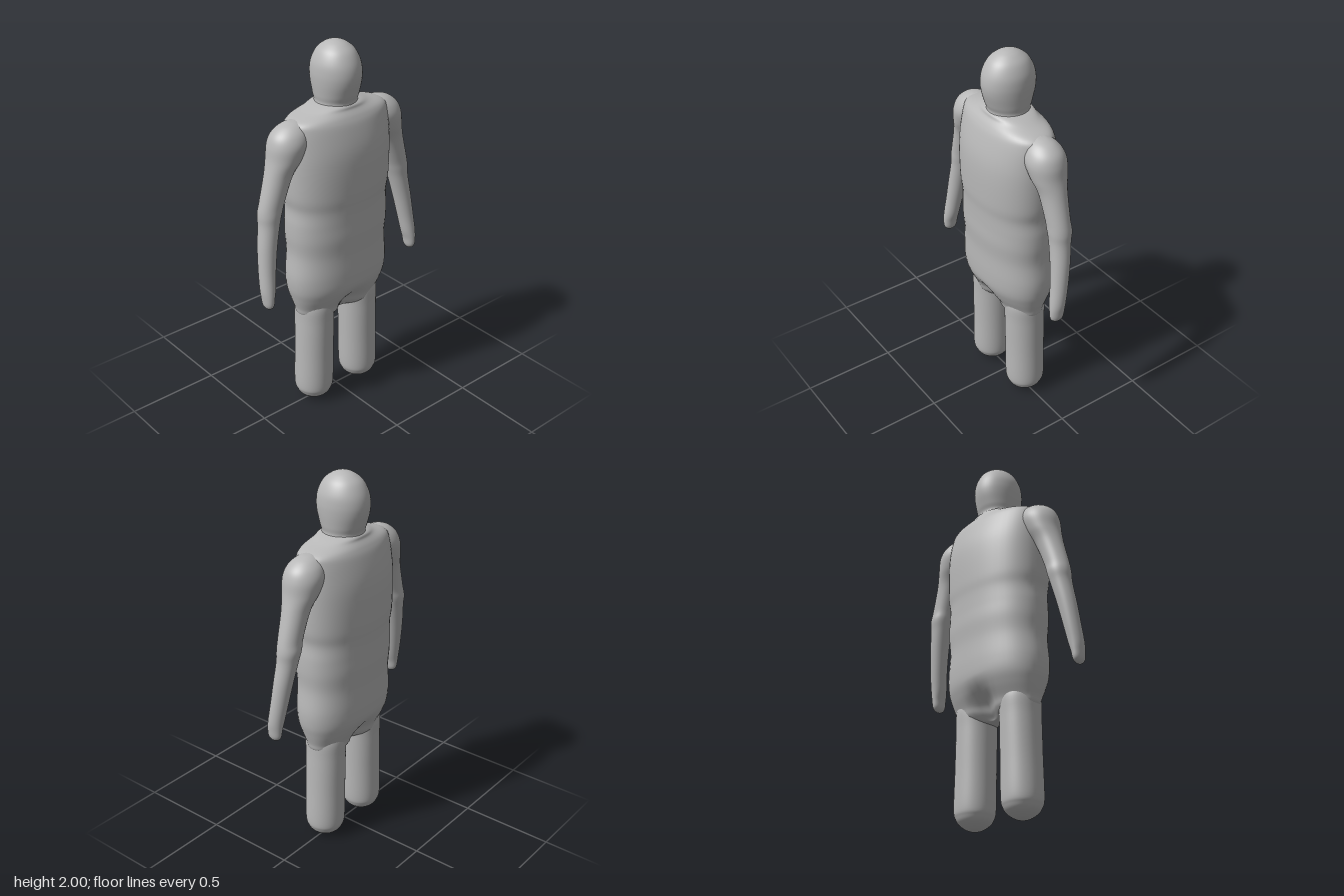
import * as THREE from 'three';

const SIDES = 48;
const STEPS = 6;

// Smooth skin over level rings listed from bottom to top.
// Each ring: [x, y, z, halfWidth, halfDepth, cleft]
function loft(rings, power = 2) {
  const spline = (pts) => new THREE.CatmullRomCurve3(pts, false, 'catmullrom', 0.5);
  const centres = spline(rings.map((r) => new THREE.Vector3(r[0], r[1], r[2])));
  const sizes = spline(rings.map((r) => new THREE.Vector3(r[3], r[4], r[5] || 0)));
  const rows = (rings.length - 1) * STEPS;
  const pos = [];
  const index = [];
  const round = (v) => Math.sign(v) * Math.pow(Math.abs(v), 2 / power);
  for (let i = 0; i <= rows; i++) {
    const c = centres.getPoint(i / rows);
    const s = sizes.getPoint(i / rows);
    for (let j = 0; j < SIDES; j++) {
      const a = (j / SIDES) * Math.PI * 2;
      const x = Math.max(s.x, 0) * round(Math.cos(a));
      // The cleft pulls the middle of the front and back inwards
      const pinch = 1 - Math.max(s.z, 0) * Math.exp(-((x / 0.06) ** 2));
      const z = Math.max(s.y, 0) * round(Math.sin(a)) * pinch;
      pos.push(c.x + x, c.y, c.z + z);
      if (i < rows) {
        const k = i * SIDES + j;
        const n = i * SIDES + ((j + 1) % SIDES);
        index.push(k, k + SIDES, n, n, k + SIDES, n + SIDES);
      }
    }
  }
  const geo = new THREE.BufferGeometry();
  geo.setAttribute('position', new THREE.Float32BufferAttribute(pos, 3));
  geo.setIndex(index);
  geo.computeVertexNormals();
  return geo;
}

export function createModel() {
  const model = new THREE.Group();
  model.name = 'figure';
  const grey = new THREE.MeshStandardMaterial({ color: 0xb8b8b8 });
  grey.name = 'plain grey';

  const add = (name, rings, power) => {
    const mesh = new THREE.Mesh(loft(rings, power), grey);
    mesh.name = name;
    model.add(mesh);
  };

  // Torso, from the crotch to the base of the neck
  add('torso', [
    [0, 0.52, 0, 0, 0],
    [0, 0.53, 0, 0.2, 0.08, 0.6],
    [0, 0.56, 0, 0.25, 0.112, 0.55],
    [0, 0.6, 0, 0.262, 0.126, 0.42],
    [0, 0.66, 0, 0.28, 0.155, 0.12],
    [0, 0.72, 0, 0.294, 0.175, 0],
    [0, 0.8, 0, 0.298, 0.181, 0],
    [0, 0.92, 0, 0.287, 0.181, 0],
    [0, 1.02, 0, 0.293, 0.188, 0],
    [0, 1.1, 0, 0.293, 0.188, 0],
    [0, 1.18, 0, 0.288, 0.19, 0],
    [0, 1.26, 0, 0.3, 0.196, 0],
    [0, 1.4, 0, 0.305, 0.196, 0],
    [0, 1.5, 0, 0.305, 0.186, 0],
    [0, 1.6, 0, 0.3, 0.16, 0],
    [0, 1.645, 0, 0.28, 0.14, 0],
    [0, 1.675, 0, 0.19, 0.118, 0],
    [0, 1.7, 0, 0.11, 0.1, 0],
    [0, 1.72, 0, 0, 0, 0],
  ], 2.2);

  // Head and neck
  add('head', [
    [0, 1.66, 0, 0.13, 0.125],
    [0, 1.7, 0, 0.109, 0.106],
    [0, 1.74, 0, 0.113, 0.118],
    [0, 1.8, 0, 0.119, 0.135],
    [0, 1.85, 0, 0.12, 0.139],
    [0, 1.9, 0, 0.113, 0.129],
    [0, 1.95, 0, 0.09, 0.102],
    [0, 1.98, 0, 0.058, 0.066],
    [0, 1.995, 0, 0.028, 0.032],
    [0, 2, 0, 0, 0],
  ]);

  for (const [side, s] of [['left', 1], ['right', -1]]) {
    // Leg with a rounded foot
    add(side + 'Leg', [
      [s * 0.157, 0, 0, 0, 0],
      [s * 0.157, 0.006, 0, 0.036, 0.036],
      [s * 0.157, 0.03, 0, 0.074, 0.074],
      [s * 0.157, 0.06, 0, 0.095, 0.095],
      [s * 0.157, 0.11, 0, 0.105, 0.105],
      [s * 0.153, 0.3, 0, 0.104, 0.105],
      [s * 0.149, 0.5, 0, 0.103, 0.107],
      [s * 0.146, 0.62, 0, 0.1, 0.107],
      [s * 0.14, 0.7, 0, 0.06, 0.07],
    ]);

    // Arm from the fingertips up to the rounded shoulder
    add(side + 'Arm', [
      [s * 0.484, 0.715, 0.05, 0, 0],
      [s * 0.484, 0.72, 0.05, 0.013, 0.02],
      [s * 0.484, 0.74, 0.05, 0.025, 0.037],
      [s * 0.483, 0.78, 0.048, 0.031, 0.042],
      [s * 0.478, 0.83, 0.042, 0.039, 0.044],
      [s * 0.468, 0.92, 0.028, 0.044, 0.046],
      [s * 0.451, 1.04, 0.013, 0.05, 0.05],
      [s * 0.43, 1.15, 0.002, 0.055, 0.055],
      [s * 0.42, 1.21, -0.002, 0.062, 0.061],
      [s * 0.405, 1.27, 0, 0.065, 0.06],
      [s * 0.362, 1.4, 0, 0.073, 0.07],
      [s * 0.325, 1.48, 0, 0.09, 0.092],
      [s * 0.3, 1.55, 0, 0.105, 0.102],
      [s * 0.285, 1.6, 0, 0.1, 0.088],
      [s * 0.27, 1.635, 0, 0.075, 0.06],
      [s * 0.265, 1.652, 0, 0.035, 0.028],
      [s * 0.26, 1.656, 0, 0, 0],
    ]);
  }
  return model;
}
